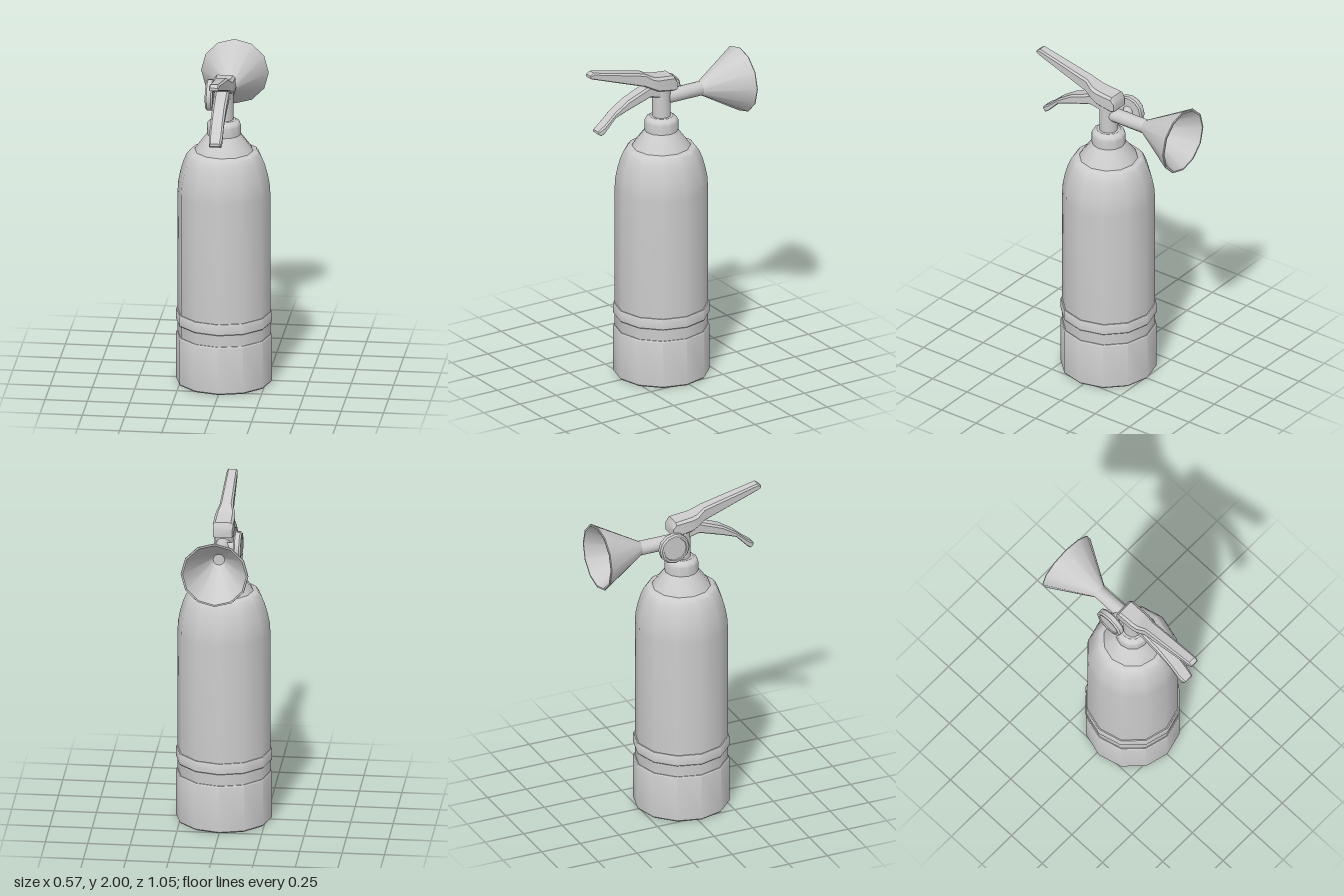
import * as THREE from 'three';
import { toCreasedNormals } from 'three/addons/utils/BufferGeometryUtils.js';

const grey = new THREE.MeshStandardMaterial({ color: 0xcccccc });
const SIDES = 12;
const AXIS_Z = 0.02; // the bottle stands slightly forward of centre
const HORN_Y = 1.73;

function addMesh(group, name, geometry) {
  const mesh = new THREE.Mesh(toCreasedNormals(geometry, 0.6), grey);
  mesh.name = name;
  group.add(mesh);
  return mesh;
}

// Turned part from [radius, height] pairs
function turned(points) {
  return new THREE.LatheGeometry(points.map(([r, y]) => new THREE.Vector2(r, y)), SIDES);
}

// Chamfered bar lofted along z; stations are [z, bottom, top, halfWidth, chamfer]
function lever(stations) {
  const loops = stations.map(([z, b, t, w, c]) => [
    [w - c / 2, b, z], [w, b + c / 2, z], [w, t - c, z], [w - c, t, z],
    [c - w, t, z], [-w, t - c, z], [-w, b + c / 2, z], [c / 2 - w, b, z],
  ]);
  const n = 8, index = [];
  for (let s = 0; s < loops.length - 1; s++) {
    for (let i = 0; i < n; i++) {
      const a = s * n + i, b = s * n + (i + 1) % n;
      index.push(a, b, b + n, a, b + n, a + n);
    }
  }
  const end = (loops.length - 1) * n;
  for (let i = 1; i < n - 1; i++) {
    index.push(0, i + 1, i, end, end + i, end + i + 1);
  }
  const geometry = new THREE.BufferGeometry();
  geometry.setAttribute('position', new THREE.Float32BufferAttribute(loops.flat(2), 3));
  geometry.setIndex(index);
  return geometry;
}

export function createModel() {
  const model = new THREE.Group();
  model.name = 'fireExtinguisher';

  // Bottle with base cup, retaining band and rounded shoulder
  const bottle = new THREE.Group();
  bottle.name = 'bottle';
  bottle.position.z = AXIS_Z;
  model.add(bottle);
  addMesh(bottle, 'baseCup', turned([
    [0, 0], [0.278, 0], [0.284, 0.008], [0.284, 0.287], [0.279, 0.295], [0.26, 0.295],
  ]));
  addMesh(bottle, 'band', turned([
    [0.26, 0.368], [0.281, 0.368], [0.284, 0.372], [0.284, 0.43], [0.281, 0.435], [0.26, 0.435],
  ]));
  addMesh(bottle, 'tank', turned([
    [0.274, 0.28], [0.274, 1.17], [0.27, 1.23], [0.258, 1.29], [0.241, 1.35],
    [0.222, 1.395], [0.203, 1.42], [0.168, 1.432],
  ]));
  addMesh(bottle, 'neckCone', turned([[0.174, 1.428], [0.168, 1.44], [0.1, 1.53]]));
  addMesh(bottle, 'collar', turned([
    [0.1, 1.53], [0.1, 1.59], [0.094, 1.603], [0.07, 1.62], [0.05, 1.62],
  ]));
  addMesh(bottle, 'valveStem', turned([[0.055, 1.6], [0.055, 1.81], [0, 1.81]]));

  // Discharge pipe and hollow horn pointing backwards
  const nozzle = new THREE.Group();
  nozzle.name = 'nozzle';
  nozzle.position.y = HORN_Y;
  nozzle.rotation.x = -Math.PI / 2;
  model.add(nozzle);
  addMesh(nozzle, 'pipe', turned([[0.043, -0.01], [0.043, 0.25]]));
  addMesh(nozzle, 'horn', turned([
    [0.043, 0.25], [0.198, 0.515], [0.2, 0.52], [0.198, 0.525], [0.188, 0.525],
    [0.034, 0.27], [0, 0.27],
  ]));

  // Pressure gauge on the right-hand side
  const gauge = new THREE.Group();
  gauge.name = 'gauge';
  gauge.position.set(0, HORN_Y + 0.005, -0.07);
  gauge.rotation.z = Math.PI / 2;
  model.add(gauge);
  addMesh(gauge, 'gaugeStem', turned([[0.026, 0], [0.026, 0.05], [0.035, 0.072]]));
  addMesh(gauge, 'gaugeDial', turned([
    [0, 0.07], [0.086, 0.07], [0.095, 0.079], [0.095, 0.105], [0.086, 0.115],
    [0.074, 0.115], [0.071, 0.109], [0, 0.109],
  ]));

  // Squeeze lever on top and carrying handle below it
  addMesh(model, 'upperLever', lever([
    [-0.056, 1.785, 1.84, 0.056, 0.008],
    [-0.037, 1.78, 1.873, 0.06, 0.014],
    [0.07, 1.797, 1.884, 0.06, 0.016],
    [0.105, 1.815, 1.893, 0.057, 0.016],
    [0.155, 1.84, 1.921, 0.04, 0.012],
    [0.503, 1.96, 2.0, 0.031, 0.009],
    [0.525, 1.968, 1.985, 0.026, 0.004],
  ]));
  addMesh(model, 'lowerHandle', lever([
    [0.0, 1.74, 1.82, 0.043, 0.01],
    [0.12, 1.767, 1.835, 0.043, 0.012],
    [0.27, 1.718, 1.775, 0.041, 0.012],
    [0.36, 1.685, 1.716, 0.04, 0.01],
    [0.43, 1.61, 1.653, 0.04, 0.01],
    [0.455, 1.592, 1.636, 0.038, 0.01],
    [0.474, 1.605, 1.62, 0.03, 0.005],
  ]));

  return model;
}
